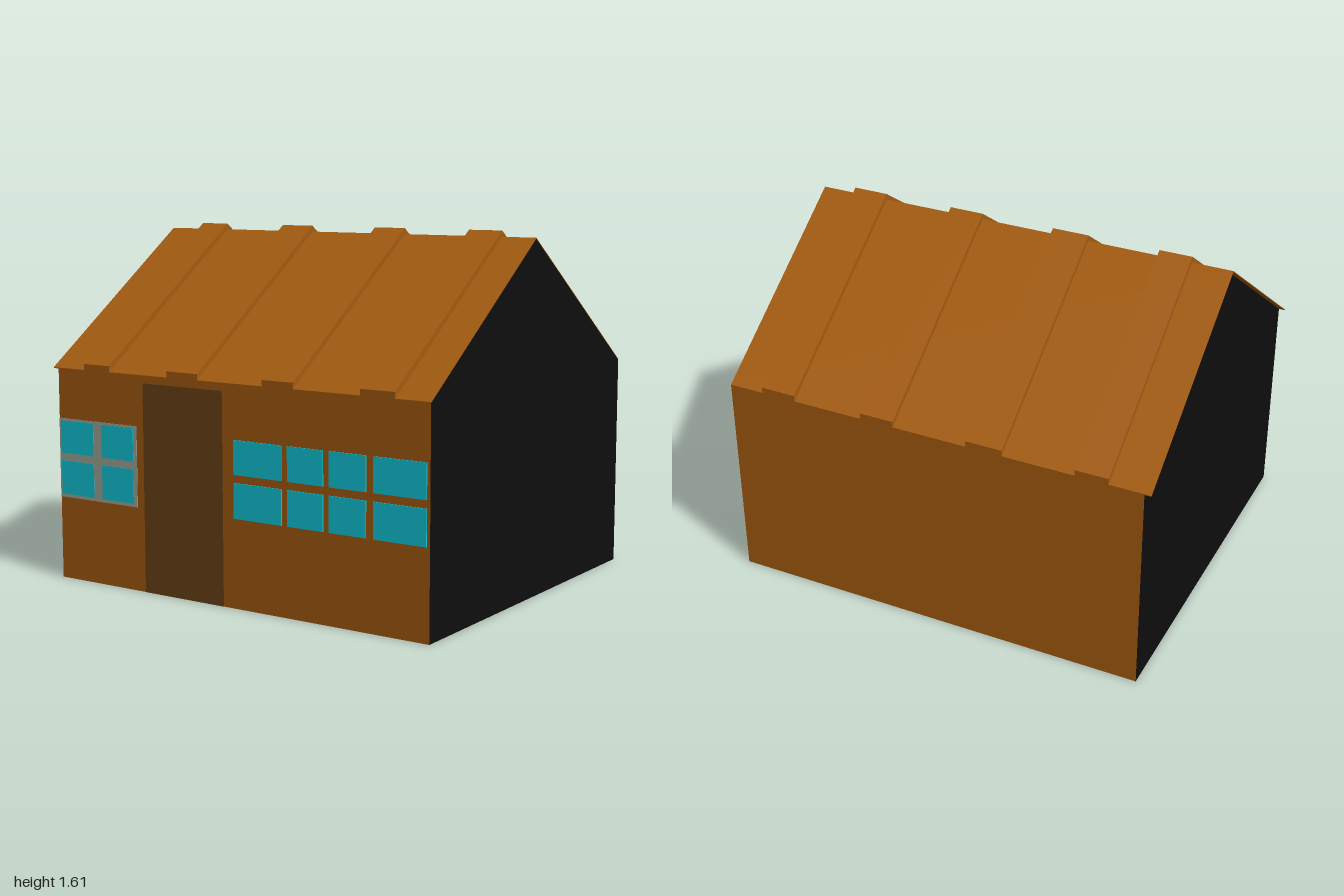
import * as THREE from 'three';

const paint = (color) => new THREE.MeshStandardMaterial({ color });
const brown = paint(0xa55c10);
const black = paint(0x0e0e0e);
const doorBrown = paint(0x6b4116);
const glass = paint(0x12c8da);
const frameGrey = paint(0xa2aa9c);

const D = 0.867;       // half depth, also the front wall plane
const EAVE = 0.975;
const RIDGE = 1.58;

// Extrudes a (z, y) profile along x from x0 to x1
function extrudeX(name, points, x0, x1, materials) {
  const shape = new THREE.Shape(points.map(([z, y]) => new THREE.Vector2(-z, y)));
  const geo = new THREE.ExtrudeGeometry(shape, { depth: x1 - x0, bevelEnabled: false });
  geo.rotateY(Math.PI / 2);
  geo.translate(x0, 0, 0);
  const mesh = new THREE.Mesh(geo, materials);
  mesh.name = name;
  return mesh;
}

// Inverted-V roof layer between two heights above the eave line
const chevron = (low, high) => [
  [D, EAVE + low], [D, EAVE + high], [0, RIDGE + high],
  [-D, EAVE + high], [-D, EAVE + low], [0, RIDGE + low],
];

// Thin panel on the front wall
function panel(name, x0, x1, y0, y1, out, material) {
  const inset = 0.01;
  const mesh = new THREE.Mesh(new THREE.BoxGeometry(x1 - x0, y1 - y0, out + inset), material);
  mesh.position.set((x0 + x1) / 2, (y0 + y1) / 2, D + (out - inset) / 2);
  mesh.name = name;
  return mesh;
}

// Two rows of glass panes
function panes(name, columns, out) {
  const group = new THREE.Group();
  group.name = name;
  for (const [x0, x1] of columns) {
    for (const [y0, y1] of [[0.395, 0.55], [0.585, 0.735]]) {
      group.add(panel('windowPane', x0, x1, y0, y1, out, glass));
    }
  }
  return group;
}

export function createModel() {
  const house = new THREE.Group();
  house.name = 'house';

  // Body with dark gable ends
  const gap = 0.004;
  house.add(extrudeX('body', [
    [D, 0], [D, EAVE - gap], [0, RIDGE - gap], [-D, EAVE - gap], [-D, 0],
  ], -0.97, 1, [black, brown]));

  // Roof sheet and raised strips
  house.add(extrudeX('roof', chevron(-gap, 0), -1, 1, brown));
  for (const [x0, x1] of [[-0.815, -0.665], [-0.335, -0.165], [0.18, 0.34], [0.67, 0.835]]) {
    house.add(extrudeX('roofStrip', chevron(-0.001, 0.027), x0, x1, brown));
  }

  // Door
  house.add(panel('door', -0.47, -0.03, 0, 0.94, 0.002, doorBrown));

  // Framed window on one side, long window on the other
  house.add(panel('windowFrame', -0.97, -0.51, 0.38, 0.745, 0.002, frameGrey));
  house.add(panes('smallWindow', [[-0.96, -0.765], [-0.715, -0.53]], 0.004));
  house.add(panes('longWindow', [[0.03, 0.28], [0.31, 0.49], [0.52, 0.7], [0.735, 0.985]], 0.005));

  return house;
}
